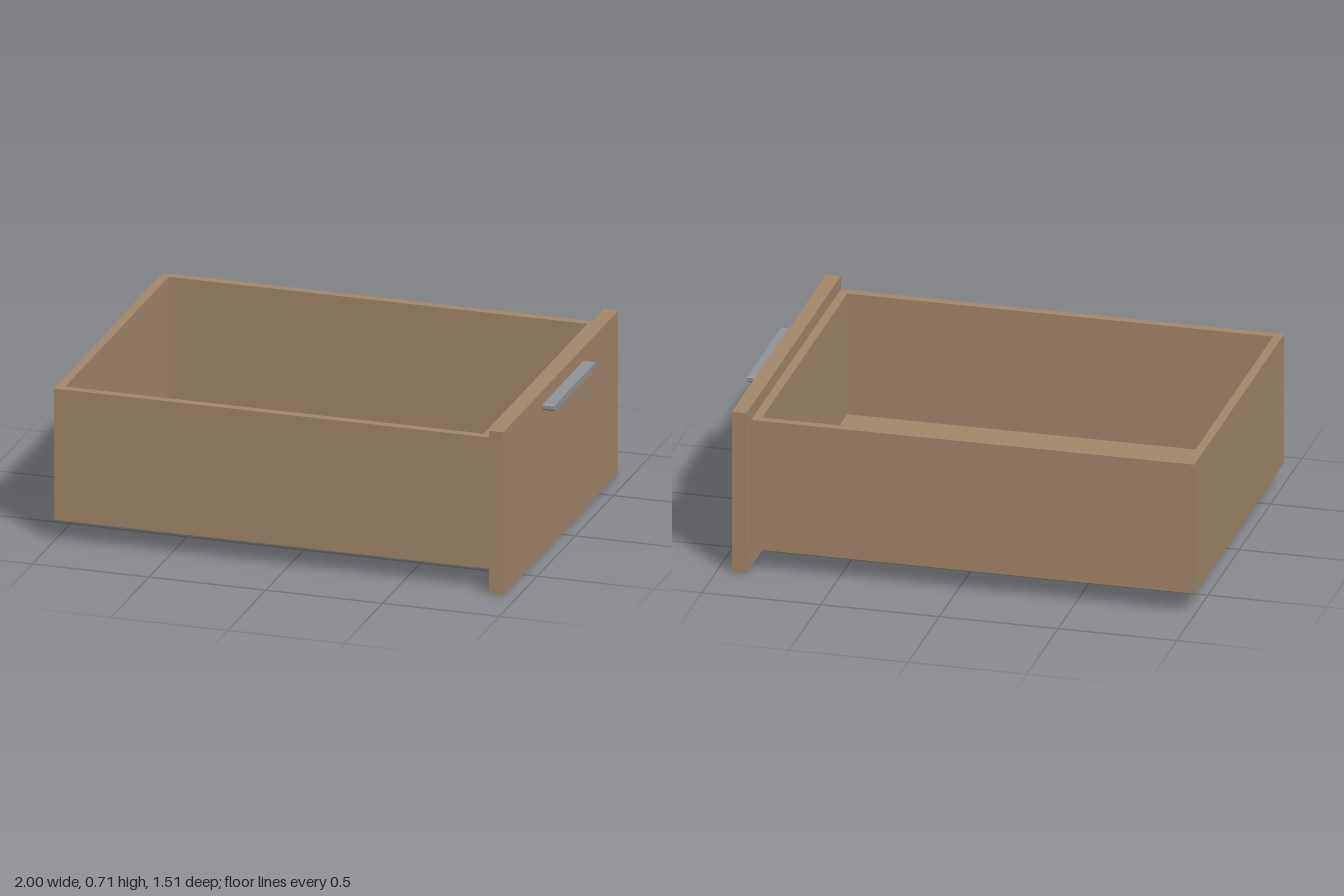
import * as THREE from 'three';

export function createModel() {
  const group = new THREE.Group();
  const wood = new THREE.MeshStandardMaterial({ color: 0xa5896b });
  wood.name = 'wood';
  const metal = new THREE.MeshStandardMaterial({ color: 0x929696 });
  metal.name = 'metal';

  // Board given by its lower and upper corners
  function board(name, [x0, y0, z0], [x1, y1, z1]) {
    const mesh = new THREE.Mesh(new THREE.BoxGeometry(x1 - x0, y1 - y0, z1 - z0), wood);
    mesh.name = name;
    mesh.position.set((x0 + x1) / 2, (y0 + y1) / 2, (z0 + z1) / 2);
    group.add(mesh);
  }

  const back = -1, front = 0.867, half = 0.717, t = 0.037;
  const low = 0.093, floor = low + t, rim = 0.662;

  // Open box
  board('bottomPanel', [back, low, -half], [front, floor, half]);
  board('leftSide', [back, floor, half - t], [front, rim, half]);
  board('rightSide', [back, floor, -half], [front, rim, t - half]);
  board('backWall', [back, floor, t - half], [back + t, rim, half - t]);
  board('innerFrontWall', [front - t, floor, t - half], [front, rim, half - t]);

  // Overhanging drawer front
  board('drawerFront', [0.876, 0, -0.755], [0.938, 0.706, 0.755]);

  // Handle bar with chamfered corners, extruded along x
  const w = 0.271, h = 0.013, c = 0.005;
  const outline = new THREE.Shape([
    [-w + c, -h], [w - c, -h], [w, -h + c], [w, h - c],
    [w - c, h], [-w + c, h], [-w, h - c], [-w, -h + c],
  ].map(([x, y]) => new THREE.Vector2(x, y)));
  const bar = new THREE.ExtrudeGeometry(outline, { depth: 0.052, bevelEnabled: false });
  bar.rotateY(Math.PI / 2);
  const handle = new THREE.Mesh(bar, metal);
  handle.name = 'handle';
  handle.position.set(0.948, 0.647, 0);
  group.add(handle);

  return group;
}
